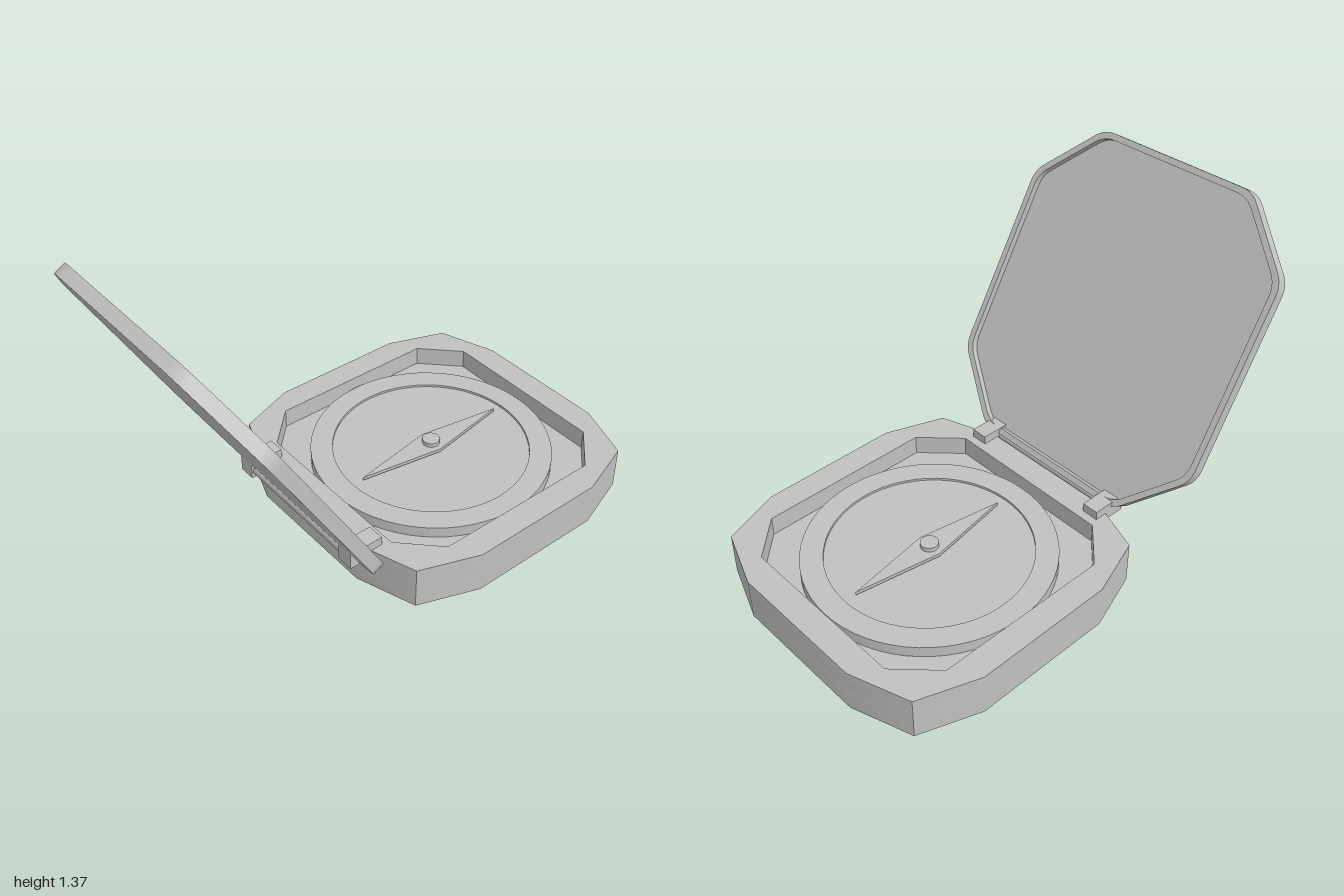
import * as THREE from 'three';
import { toCreasedNormals } from 'three/addons/utils/BufferGeometryUtils.js';

const BASE_Z = -0.36;

export function createModel() {
  const model = new THREE.Group();
  model.name = 'foldingCompass';
  const grey = new THREE.MeshStandardMaterial({ color: 0xc0c0c0 });
  grey.name = 'grey';

  const add = (parent, name, geometry, x = 0, y = 0, z = 0) => {
    const mesh = new THREE.Mesh(geometry, grey);
    mesh.name = name;
    mesh.position.set(x, y, z);
    parent.add(mesh);
    return mesh;
  };

  const extrude = (shape, depth, curveSegments = 8) =>
    toCreasedNormals(new THREE.ExtrudeGeometry(shape, { depth, bevelEnabled: false, curveSegments }), 0.4);
  // Horizontal plate: outline in the ground plane, extruded upward
  const plate = (shape, height, segments) => extrude(shape, height, segments).rotateX(-Math.PI / 2);

  const polygon = (points) => new THREE.Shape(points.map(([x, y]) => new THREE.Vector2(x, y)));
  // Repeats the points of one corner around four quarter turns
  const fourfold = (corner) => {
    const points = [];
    for (let i = 0; i < 4; i++) {
      for (const [x, y] of corner) {
        points.push([[x, y], [-y, x], [-x, -y], [y, -x]][i]);
      }
    }
    return polygon(points);
  };

  // Case: twelve-sided body with an octagonal recess
  const outline = () => fourfold([[0.637, 0.3], [0.55, 0.55], [0.3, 0.64]]);
  add(model, 'caseFloor', plate(outline(), 0.1), 0, 0, BASE_Z);
  const wall = outline();
  wall.holes.push(fourfold([[0.527, 0.375], [0.375, 0.527]]));
  add(model, 'caseWall', plate(wall, 0.085), 0, 0.1, BASE_Z);

  // Dial: flat bezel ring around a slightly sunken face
  const dialProfile = [[0, 0.138], [0.415, 0.138], [0.415, 0.148], [0.508, 0.148], [0.508, 0.1]];
  const dial = new THREE.LatheGeometry(
    dialProfile.map(([r, y]) => new THREE.Vector2(r, y)).reverse(), 64);
  add(model, 'dial', toCreasedNormals(dial, 0.5), 0, 0, BASE_Z);

  // Needle and pivot
  const needle = polygon([[0.06, 0], [0, 0.365], [-0.06, 0], [0, -0.365]]);
  add(model, 'needle', plate(needle, 0.015), 0, 0.146, BASE_Z);
  add(model, 'needlePivot', new THREE.CylinderGeometry(0.037, 0.037, 0.042, 32), 0, 0.159, BASE_Z);

  // Hinge: two blocks joined by a rod
  for (const side of [-1, 1]) {
    add(model, side > 0 ? 'leftHingeBlock' : 'rightHingeBlock',
      new THREE.BoxGeometry(0.073, 0.073, 0.15), side * 0.326, 0.186, 0.278);
  }
  add(model, 'hingeRod', new THREE.CylinderGeometry(0.03, 0.03, 0.6, 32).rotateZ(Math.PI / 2),
    0, 0.18, 0.315);

  // Lid: octagon with rounded corners, hollow on the inner side
  const lidShape = (inset) => {
    const w = 0.637 - inset, h = 0.675 - inset;
    const cut = 0.265 - inset * 0.58;
    const pts = [[w, -h + cut], [w, h - cut], [w - cut, h], [-w + cut, h],
      [-w, h - cut], [-w, -h + cut], [-w + cut, -h], [w - cut, -h]]
      .map(([x, y]) => new THREE.Vector2(x, y));
    const toward = (a, b) => a.clone().add(b.clone().sub(a).setLength(0.05));
    const shape = new THREE.Shape();
    pts.forEach((p, i) => {
      const a = toward(p, pts[(i + 7) % 8]);
      const b = toward(p, pts[(i + 1) % 8]);
      if (i === 0) shape.moveTo(a.x, a.y);
      else shape.lineTo(a.x, a.y);
      shape.quadraticCurveTo(p.x, p.y, b.x, b.y);
    });
    shape.closePath();
    return shape;
  };
  const lid = new THREE.Group();
  lid.name = 'lid';
  lid.position.set(0, 0.2, 0.282);
  lid.rotation.x = Math.PI / 6;
  const rim = lidShape(0);
  rim.holes.push(lidShape(0.026));
  add(lid, 'lidRim', extrude(rim, 0.028), 0, 0.675, 0);
  add(lid, 'lidPanel', extrude(lidShape(0), 0.022), 0, 0.675, 0.028);
  model.add(lid);

  return model;
}
